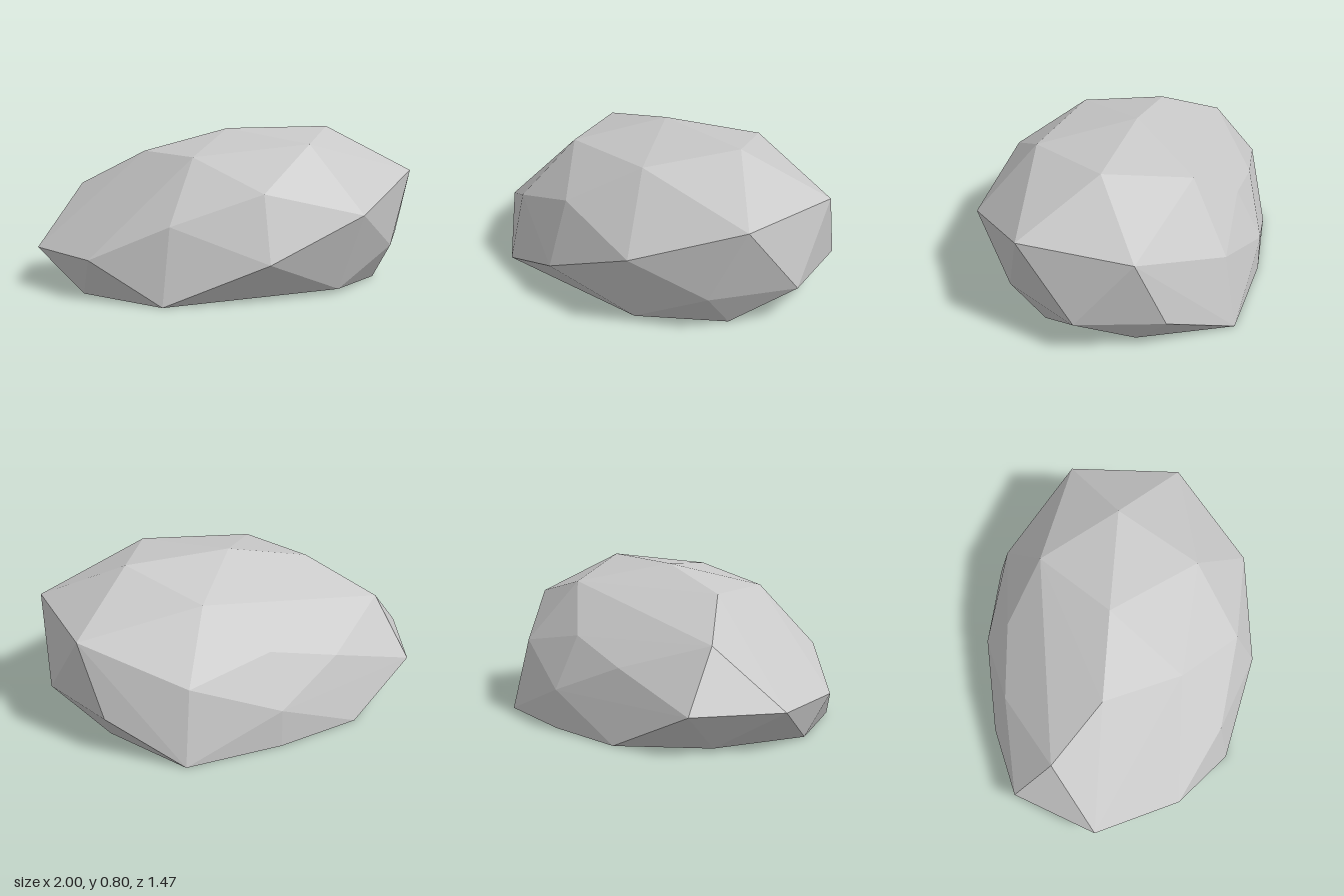
import * as THREE from 'three';
import { ConvexGeometry } from 'three/addons/geometries/ConvexGeometry.js';

// Corners of the faceted boulder, grouped in rings from the ground up: [x, y, z]
const base = [
  [-0.48, 0, 0.63], [0.45, 0.02, 0.53], [0.77, 0, 0.19], [0.77, 0, -0.29], [0.53, 0, -0.735],
  [0.02, 0, -0.735], [-0.43, 0, -0.66], [-0.73, 0, -0.28], [-0.8, 0, 0.22],
];
const belly = [
  [-1, 0.2, -0.05], [-0.8, 0.2, 0.38], [0.03, 0.2, 0.735], [0.8, 0.2, 0.36],
  [1, 0.2, -0.05], [0.85, 0.2, -0.47], [0.02, 0.2, -0.735], [-0.83, 0.2, -0.49],
];
const shoulder = [
  [-0.43, 0.38, 0.57], [0.03, 0.53, 0.62], [0.54, 0.41, 0.645], [0.95, 0.58, 0.25], [0.93, 0.57, -0.335],
  [0.48, 0.38, -0.66], [0.03, 0.465, -0.6], [-0.35, 0.36, -0.58], [-0.73, 0.5, -0.29],
];
const crown = [
  [-0.43, 0.69, -0.05], [-0.26, 0.69, 0.34], [0.34, 0.745, 0.38], [0.58, 0.8, -0.05],
  [0.32, 0.7, -0.44], [-0.22, 0.6, -0.35], [0.02, 0.8, -0.05],
];

export function createModel() {
  const group = new THREE.Group();
  group.name = 'rock';

  const stone = new THREE.MeshStandardMaterial({ color: 0xc8c8c8 });
  stone.name = 'stone grey';

  // Flat-faced hull stretched over the rings
  const corners = [...base, ...belly, ...shoulder, ...crown].map((p) => new THREE.Vector3(...p));
  const boulder = new THREE.Mesh(new ConvexGeometry(corners), stone);
  boulder.name = 'boulder';
  group.add(boulder);

  return group;
}
